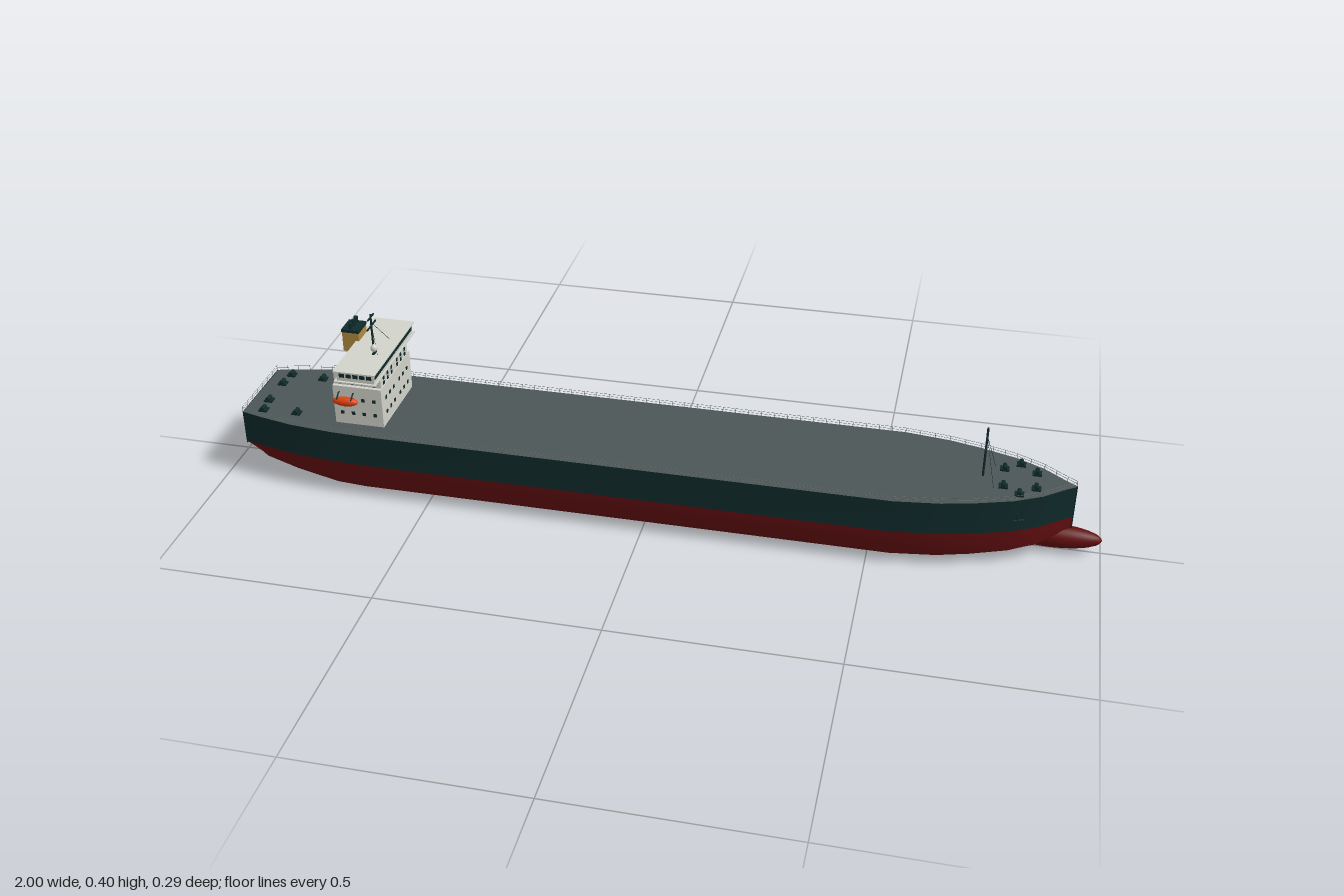
import * as THREE from 'three';
import { mergeGeometries, toCreasedNormals } from 'three/addons/utils/BufferGeometryUtils.js';

const mat = (name, color, side = THREE.FrontSide) => {
  const m = new THREE.MeshStandardMaterial({ color, side });
  m.name = name;
  return m;
};
const DECK_Y = 0.167, WATER_Y = 0.089;

// Hull stations: x, half breadth, keel height
const STATIONS = [
  [-0.95, 0.1, 0.083], [-0.9, 0.113, 0.044], [-0.82, 0.13, 0.026], [-0.72, 0.14, 0.005], [-0.65, 0.143, 0.002],
  [0.55, 0.143, 0.002], [0.65, 0.13, 0.004], [0.72, 0.113, 0.009], [0.8, 0.087, 0.016], [0.86, 0.056, 0.026],
  [0.91, 0.016, 0.042], [0.93, 0.002, 0.055],
];
// Underwater section: height fraction, breadth fraction
const BILGE = [[1, 1], [0.5, 0.965], [0.23, 0.89], [0.09, 0.7], [0.02, 0.35], [0, 0]];

// Skin over open cross-sections that run from +z down and round to -z
function loft(sections) {
  const n = sections[0].length, idx = [];
  for (let i = 0; i < sections.length - 1; i++) {
    for (let j = 0; j < n - 1; j++) {
      const a = i * n + j, b = a + n;
      idx.push(a + 1, b + 1, b, a + 1, b, a);
    }
  }
  const g = new THREE.BufferGeometry();
  g.setAttribute('position', new THREE.Float32BufferAttribute(sections.flat(2), 3));
  g.setIndex(idx);
  return toCreasedNormals(g, 0.5);
}

const box = (sx, sy, sz, x, y, z) => new THREE.BoxGeometry(sx, sy, sz).translate(x, y, z);
const ball = (rx, ry, rz, x, y, z) => new THREE.SphereGeometry(1, 24, 16).scale(rx, ry, rz).translate(x, y, z);

// Round bar between two points
function bar(a, b, r, sides = 6) {
  const p = new THREE.Vector3(...a), d = new THREE.Vector3(...b).sub(p);
  const g = new THREE.CylinderGeometry(r, r, d.length(), sides);
  g.applyQuaternion(new THREE.Quaternion().setFromUnitVectors(new THREE.Vector3(0, 1, 0), d.clone().normalize()));
  return g.translate(p.x + d.x / 2, p.y + d.y / 2, p.z + d.z / 2);
}

export function createModel() {
  const ship = new THREE.Group();
  ship.name = 'cargoShip';
  const dark = mat('dark teal', 0x102a2b), red = mat('hull red', 0x640f11), deckGrey = mat('deck grey', 0x4c5656);
  const white = mat('off white', 0xd2d3ca), orange = mat('lifeboat orange', 0xe0410f), tan = mat('funnel tan', 0xb08a3c);
  const steel = mat('steel grey', 0x6c7372);
  const add = (name, material, ...geos) => {
    const mesh = new THREE.Mesh(geos.length > 1 ? mergeGeometries(geos) : geos[0], material);
    mesh.name = name;
    ship.add(mesh);
  };

  // Hull
  add('lowerHull', red, loft(STATIONS.map(([x, w, k]) => {
    const half = BILGE.map(([t, s]) => [x, k + (WATER_Y - k) * t, w * s]);
    return [...half, ...half.slice(0, -1).reverse().map(([a, b, c]) => [a, b, -c])];
  })));
  for (const s of [1, -1]) {
    add('hullSide', dark, loft(STATIONS.map(([x, w]) => s > 0
      ? [[x, DECK_Y, w], [x, WATER_Y, w]] : [[x, WATER_Y, -w], [x, DECK_Y, -w]])));
  }
  add('transom', dark, box(0.002, DECK_Y - 0.084, 0.2, -0.949, (DECK_Y + 0.084) / 2, 0));
  add('stem', dark, box(0.004, DECK_Y - 0.06, 0.005, 0.93, (DECK_Y + 0.06) / 2, 0));
  add('bulbousBow', red, ball(0.11, 0.027, 0.027, 0.89, 0.035, 0));

  // Deck
  const outline = [...STATIONS.map(([x, w]) => [x, w]), ...STATIONS.map(([x, w]) => [x, -w]).reverse()];
  const deckShape = new THREE.Shape(outline.map(([x, z]) => new THREE.Vector2(x, z)));
  add('deck', deckGrey, new THREE.ShapeGeometry(deckShape).rotateX(-Math.PI / 2).translate(0, DECK_Y, 0));

  // Railing round the deck edge
  const rails = [];
  outline.forEach(([x, z], i) => {
    const [x2, z2] = outline[(i + 1) % outline.length];
    const len = Math.hypot(x2 - x, z2 - z), n = Math.max(1, Math.round(len / 0.03));
    for (const h of [0.006, 0.012]) rails.push(bar([x, DECK_Y + h, z * 0.99], [x2, DECK_Y + h, z2 * 0.99], 0.0004, 4));
    for (let k = 0; k < n; k++) {
      const px = x + (x2 - x) * k / n, pz = (z + (z2 - z) * k / n) * 0.99;
      rails.push(bar([px, DECK_Y, pz], [px, DECK_Y + 0.012, pz], 0.0006, 4));
    }
  });
  add('railing', steel, ...rails);

  // Deckhouse and bridge
  add('deckhouse', white,
    box(0.115, 0.097, 0.19, -0.665, 0.2155, 0),
    box(0.111, 0.032, 0.174, -0.665, 0.279, 0));
  add('bridge', white,
    box(0.088, 0.024, 0.25, -0.652, 0.307, 0),
    box(0.098, 0.003, 0.262, -0.653, 0.295, 0),
    box(0.098, 0.003, 0.262, -0.653, 0.3205, 0));
  const windows = [];
  for (const y of [0.196, 0.232, 0.27, 0.282]) {
    const upper = y > 0.264;
    for (const z of [0.018, 0.043, 0.068]) {
      for (const s of [1, -1]) windows.push(box(0.002, 0.008, 0.007, upper ? -0.609 : -0.607, y, s * z));
    }
    for (let i = 0; i < 4; i++) {
      for (const s of [1, -1]) windows.push(box(0.008, 0.008, 0.002, -0.704 + i * 0.026, y, s * (upper ? 0.087 : 0.095)));
    }
  }
  for (let i = 0; i < 18; i++) windows.push(box(0.002, 0.009, 0.0115, -0.608, 0.31, (i - 8.5) * 0.0135));
  for (let i = 0; i < 5; i++) {
    for (const s of [1, -1]) windows.push(box(0.012, 0.009, 0.002, -0.684 + i * 0.016, 0.31, s * 0.125));
  }
  add('windows', dark, ...windows);

  // Funnel with three exhaust pipes
  add('funnel', tan, box(0.04, 0.05, 0.049, -0.714, 0.318, -0.037));
  const pipes = [-0.02, -0.037, -0.053].map(z => bar([-0.714, 0.345, z], [-0.714, 0.363, z], 0.005, 12));
  add('funnelTop', dark, box(0.042, 0.007, 0.051, -0.714, 0.345, -0.037), ...pipes);

  // Lifeboats on davits
  for (const s of [1, -1]) {
    add('lifeboat', orange, ball(0.03, 0.011, 0.011, -0.69, 0.232, s * 0.107));
    const arms = [];
    for (const x of [-0.707, -0.673]) {
      arms.push(bar([x, 0.248, s * 0.093], [x, 0.25, s * 0.1], 0.0015),
        bar([x, 0.25, s * 0.1], [x, 0.24, s * 0.115], 0.0015));
    }
    add('davits', dark, ...arms);
  }

  // Masts with crossbars and stays
  const mast = (name, x, y0, y1, yards, spread) => {
    const parts = [bar([x, y0, 0], [x, y1, 0], 0.0025, 8)];
    for (const [y, half] of yards) parts.push(box(0.003, 0.003, half * 2, x, y, 0));
    for (const s of [1, -1]) parts.push(bar([x, y1 - 0.02, 0], [x + 0.025, y0, s * spread], 0.0005, 4));
    add(name, dark, ...parts);
  };
  mast('bridgeMast', -0.655, 0.32, 0.402, [[0.395, 0.018], [0.374, 0.026]], 0.04);
  mast('foremast', 0.73, DECK_Y, 0.288, [[0.27, 0.02], [0.242, 0.026]], 0.045);
  add('radarDome', white, ball(0.008, 0.009, 0.008, -0.64, 0.335, 0.032));
  add('radarBase', dark, box(0.006, 0.003, 0.018, -0.64, 0.3235, 0.032));

  // Mooring winches fore and aft
  const winches = [];
  for (const [x, z] of [[-0.91, 0.04], [-0.905, 0.083], [-0.825, 0.08], [0.775, 0.035], [0.81, 0.06], [0.845, 0.03]]) {
    for (const s of [1, -1]) {
      winches.push(box(0.02, 0.004, 0.018, x, DECK_Y + 0.002, s * z),
        bar([x, DECK_Y + 0.007, s * z - 0.009], [x, DECK_Y + 0.007, s * z + 0.009], 0.005, 10));
    }
  }
  add('winches', dark, ...winches);

  // Anchors against the bow
  for (const s of [1, -1]) {
    add('anchor', dark,
      bar([0.808, 0.137, s * 0.085], [0.814, 0.115, s * 0.083], 0.0022),
      bar([0.803, 0.118, s * 0.088], [0.826, 0.116, s * 0.076], 0.002));
  }

  // Propeller, shaft and rudder
  add('propellerShaft', steel, bar([-0.88, 0.045, 0], [-0.968, 0.045, 0], 0.004, 10));
  const blades = [ball(0.008, 0.005, 0.005, -0.96, 0.045, 0)];
  for (let i = 0; i < 4; i++) {
    blades.push(ball(0.0018, 0.01, 0.006, 0, 0.011, 0).rotateY(0.5).rotateX(i * Math.PI / 2).translate(-0.96, 0.045, 0));
  }
  add('propeller', tan, ...blades);
  add('rudder', dark, box(0.024, 0.044, 0.005, -0.988, 0.048, 0),
    bar([-0.985, 0.068, 0], [-0.94, 0.084, 0], 0.0025));
  return ship;
}
